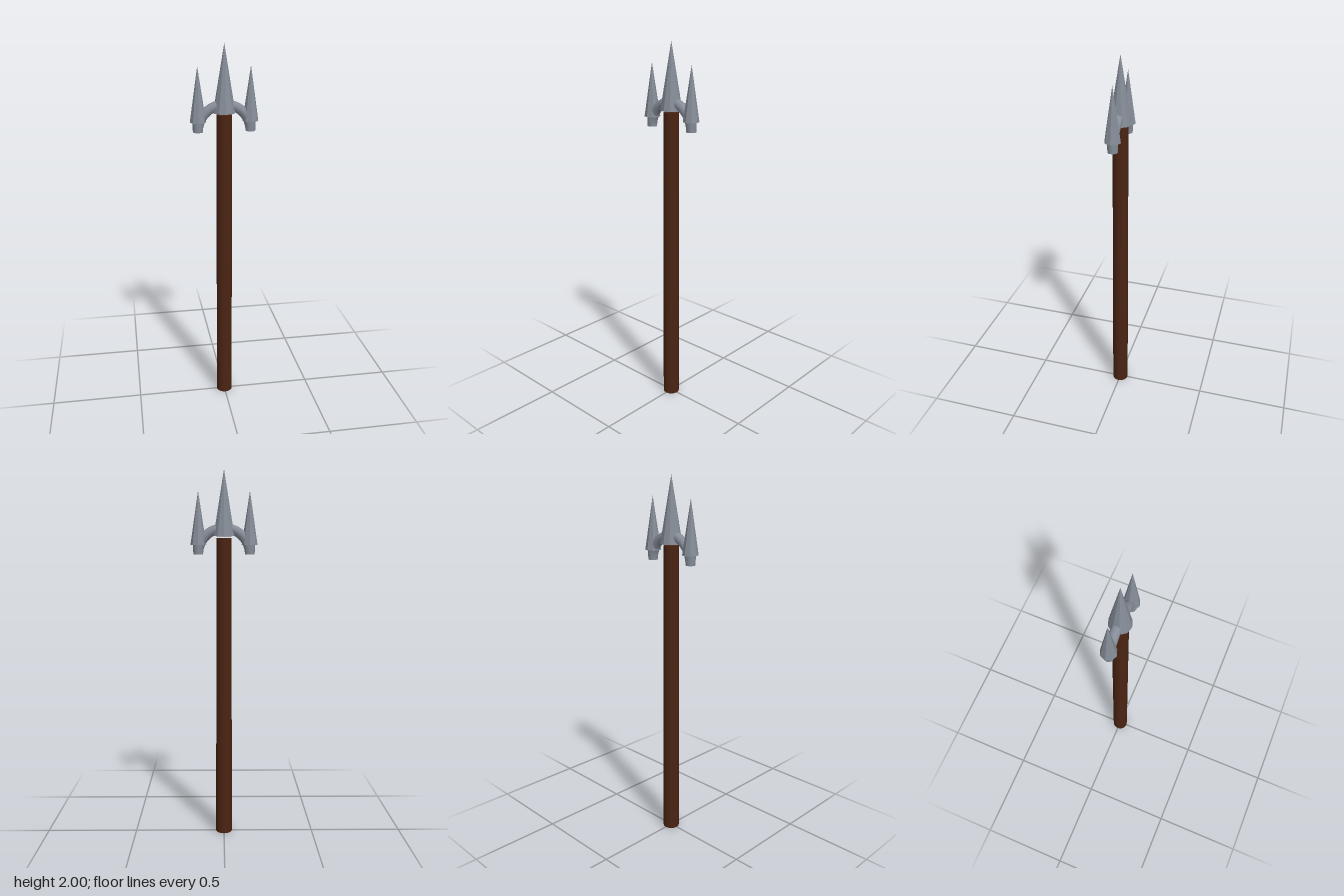
import * as THREE from 'three';

export function createModel() {
  const group = new THREE.Group();
  const metal = new THREE.MeshStandardMaterial({ color: 0x868d98 });
  metal.flatShading = true;
  const smoothMetal = new THREE.MeshStandardMaterial({ color: 0x868d98 });
  const wood = new THREE.MeshStandardMaterial({ color: 0x4a2412 });

  // Adds a round part standing between two heights
  function addRound(name, material, x, yBottom, yTop, rBottom, rTop, sides) {
    const geometry = new THREE.CylinderGeometry(rTop, rBottom, yTop - yBottom, sides);
    const mesh = new THREE.Mesh(geometry, material);
    mesh.position.set(x, (yBottom + yTop) / 2, 0);
    mesh.name = name;
    group.add(mesh);
  }

  // Tapered wooden pole
  addRound('shaft', wood, 0, 0, 1.645, 0.045, 0.04, 16);

  // Large middle spike
  addRound('centreProng', metal, 0, 1.655, 2, 0.058, 0, 10);

  // Half ring carrying the outer spikes
  const arch = new THREE.Mesh(new THREE.TorusGeometry(0.137, 0.026, 12, 24, Math.PI), smoothMetal);
  arch.position.y = 1.56;
  arch.name = 'crossArch';
  group.add(arch);

  // Outer spikes with short sockets below
  for (const [side, s] of [['left', 1], ['right', -1]]) {
    addRound(side + 'Prong', metal, s * 0.136, 1.61, 1.89, 0.042, 0, 8);
    addRound(side + 'Socket', smoothMetal, s * 0.137, 1.559, 1.612, 0.026, 0.028, 12);
  }

  return group;
}
